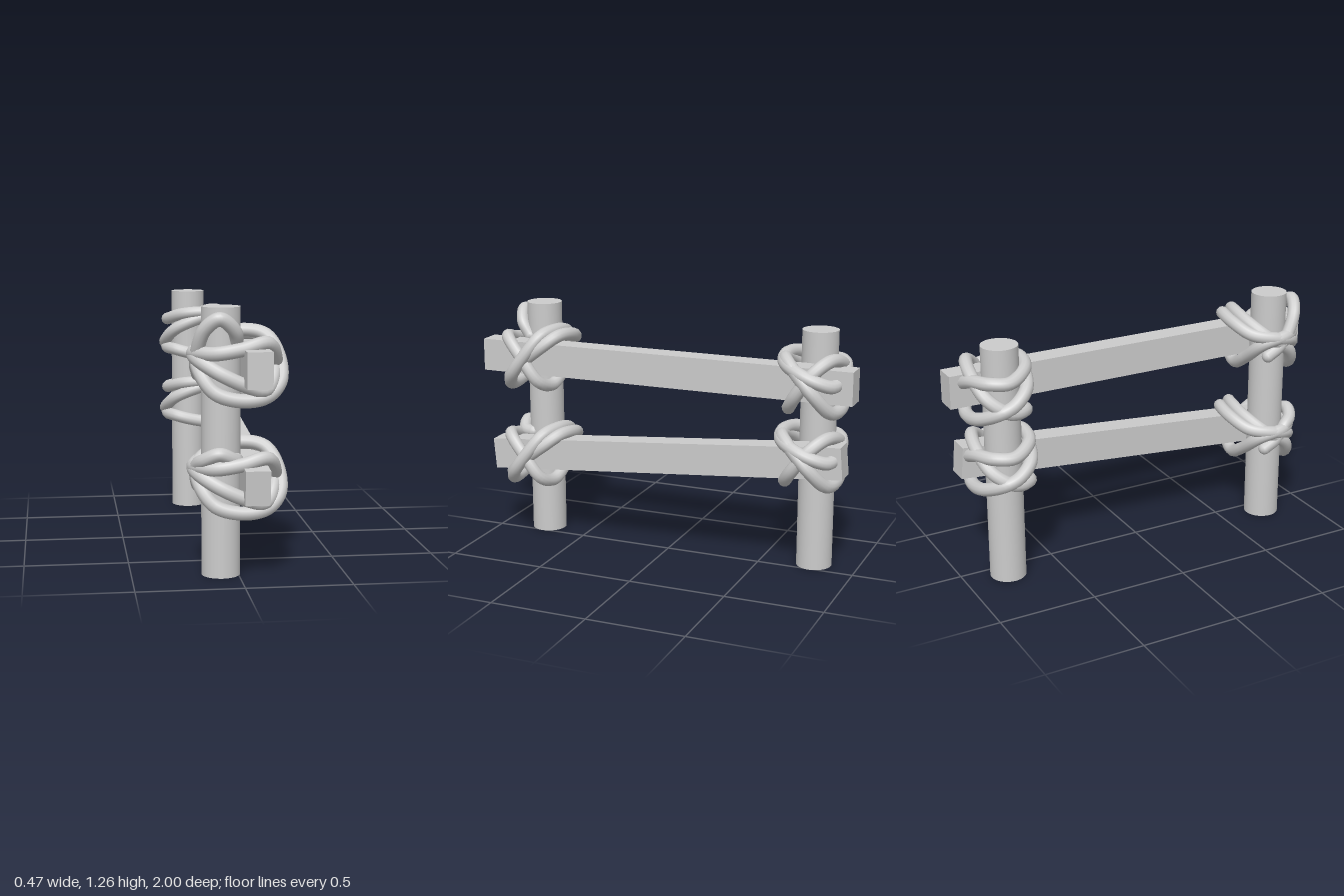
import * as THREE from 'three';

const mat = new THREE.MeshStandardMaterial({ color: 0xcccccc });
const ROPE = 0.033;

function addMesh(parent, name, geometry, x, y, z) {
  const m = new THREE.Mesh(geometry, mat);
  m.name = name;
  m.position.set(x, y, z);
  parent.add(m);
  return m;
}

function post(parent, name, z, height) {
  addMesh(parent, name, new THREE.CylinderGeometry(0.091, 0.091, height, 32), -0.081, height / 2, z);
}

// Rope strand through a few points, relative to the crossing of post and rail
function strand(parent, name, points, closed, yScale) {
  const curve = new THREE.CatmullRomCurve3(
    points.map(([x, y, z]) => new THREE.Vector3(x, y * yScale, z)), closed);
  addMesh(parent, name, new THREE.TubeGeometry(curve, 72, ROPE, 12, closed), 0, 0, 0);
  if (closed) return;
  // Rounded tips for the loose ends
  for (const t of [0, 1]) {
    const p = curve.getPoint(t);
    addMesh(parent, 'ropeTip', new THREE.SphereGeometry(ROPE, 12, 8), p.x, p.y, p.z);
  }
}

const frontLoops = [
  [[-0.205, 0.055, 0.03], [-0.12, 0.06, 0.12], [0, 0.08, 0.135], [0.12, 0.105, 0.11], [0.175, 0, 0],
    [0.16, -0.11, -0.08], [0.06, -0.145, -0.11], [-0.06, -0.08, -0.12], [-0.18, 0.02, -0.09]],
  [[-0.195, 0.03, 0.06], [-0.1, -0.03, 0.125], [0.03, -0.09, 0.13], [0.11, -0.11, 0.11], [0.16, -0.04, 0.04],
    [0.16, 0.07, -0.1], [0.1, 0.125, -0.17], [-0.03, 0.115, -0.19], [-0.15, 0.07, -0.14], [-0.205, 0.05, -0.03]],
  [[-0.185, -0.03, 0.06], [-0.12, -0.12, 0.11], [0, -0.155, 0.12], [0.12, -0.14, 0.1], [0.19, -0.07, 0.05],
    [0.19, 0.04, -0.03], [0.14, 0.125, -0.09], [0.04, 0.145, -0.13], [-0.08, 0.12, -0.13], [-0.18, 0.06, -0.07]],
];

const backLoops = [
  [[-0.2, -0.07, 0], [-0.15, 0.0, -0.1], [-0.03, 0.09, -0.13], [0.1, 0.12, -0.1], [0.17, 0.06, -0.03],
    [0.17, -0.05, 0.05], [0.1, -0.12, 0.1], [-0.03, -0.11, 0.115], [-0.16, -0.08, 0.09]],
  [[-0.2, -0.06, -0.05], [-0.1, -0.11, -0.12], [0.03, -0.135, -0.13], [0.12, -0.12, -0.11], [0.19, -0.02, -0.04],
    [0.165, 0.08, 0.06], [0.1, 0.12, 0.12], [-0.03, 0.09, 0.135], [-0.16, 0.03, 0.1], [-0.205, -0.03, 0.02]],
  [[-0.195, 0.08, 0], [-0.12, 0.115, 0.11], [0.03, 0.125, 0.14], [0.13, 0.1, 0.11], [0.185, 0.06, 0.01],
    [0.18, 0.03, -0.07], [0.14, 0.01, -0.13], [0.05, 0.03, -0.15], [-0.06, 0.07, -0.14], [-0.16, 0.08, -0.09]],
];

// Loose end arching over the front of the post and joining the wraps beside it
const looseEnd = (arch) => [[-0.015, 0.09, 0.05], [-0.03, 0.16 * arch, 0.1], [-0.1, 0.217 * arch, 0.125],
  [-0.165, 0.17 * arch, 0.1], [-0.195, 0.07, 0.05], [-0.195, 0.0, 0.0], [-0.18, -0.05, -0.06]];

function lashing(parent, name, y, z, loops, yScale, arch) {
  const g = new THREE.Group();
  g.name = name;
  g.position.set(0, y, z);
  loops.forEach((pts, i) => strand(g, `ropeLoop${i + 1}`, pts, true, yScale));
  if (arch) strand(g, 'ropeLooseEnd', looseEnd(arch), false, yScale);
  parent.add(g);
}

export function createModel() {
  const model = new THREE.Group();
  model.name = 'fenceSection';

  // Round posts
  post(model, 'frontPost', 0.742, 1.256);
  post(model, 'backPost', -0.775, 1.225);

  // Square rails on the +x side of the posts, the lower one sloping
  addMesh(model, 'upperRail', new THREE.BoxGeometry(0.117, 0.167, 2), 0.0645, 0.988, 0);
  const lower = addMesh(model, 'lowerRail', new THREE.BoxGeometry(0.115, 0.162, 1.92), 0.0635, 0.53, 0);
  lower.rotation.x = 0.0855;

  // Rope lashings at the four crossings
  lashing(model, 'upperFrontLashing', 0.99, 0.745, frontLoops, 1, 1);
  lashing(model, 'lowerFrontLashing', 0.465, 0.745, frontLoops, 0.97, 0.6);
  lashing(model, 'upperBackLashing', 0.985, -0.775, backLoops, 1.02, 0);
  lashing(model, 'lowerBackLashing', 0.605, -0.765, backLoops, 0.95, 0);

  return model;
}
